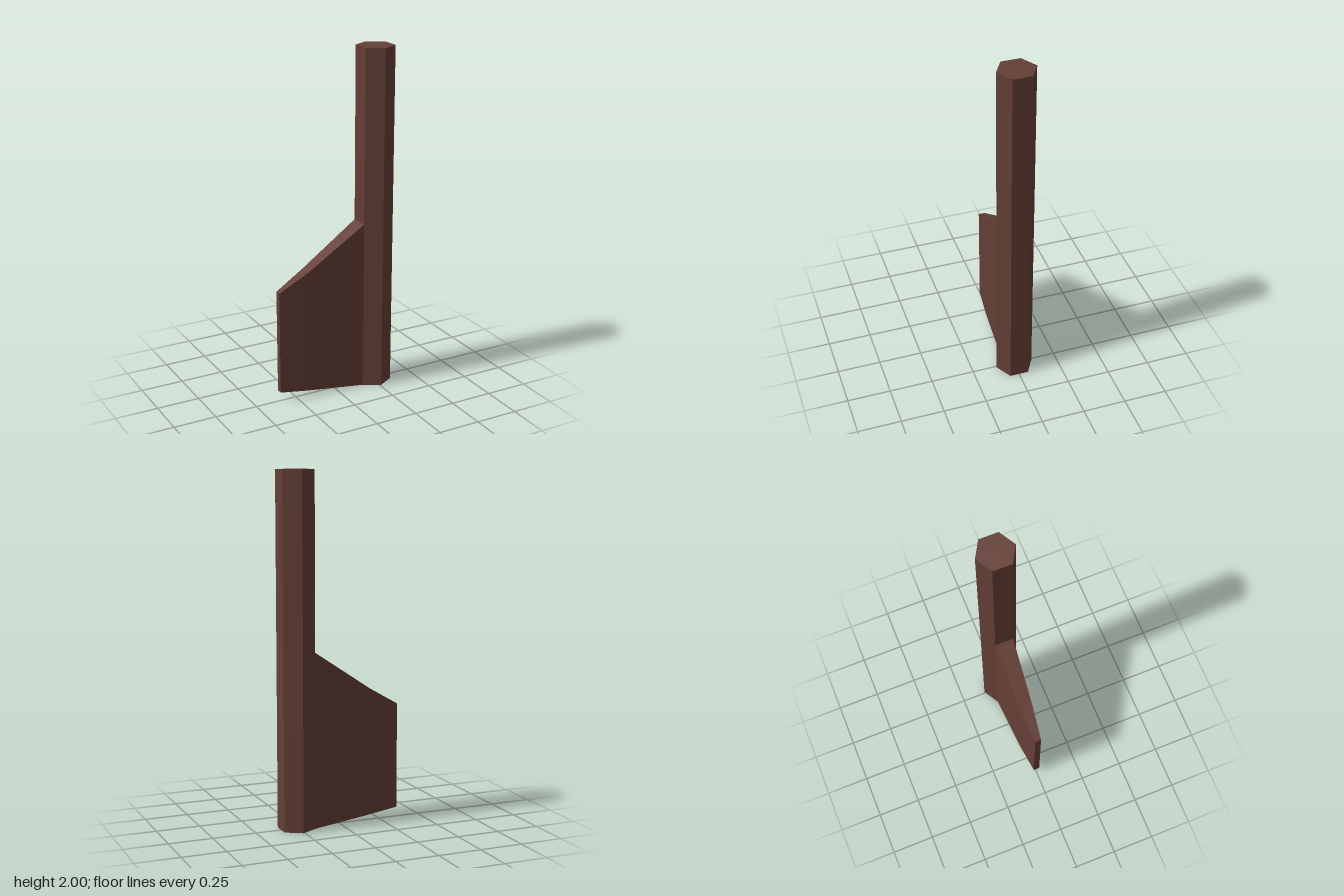
import * as THREE from 'three';

// Blade cross-sections from the post outwards: x, bottom, top, half thickness
const SECTIONS = [
  [0.165, 0, 1, 0.054],
  [-0.18, 0.04, 0.77, 0.036],
  [-0.354, 0.06, 0.67, 0.018],
];

function bladeGeometry() {
  const rings = SECTIONS.map(([x, y0, y1, h]) => [[x, y0, h], [x, y1, h], [x, y1, -h], [x, y0, -h]]);
  const positions = [];
  const quad = (a, b, c, d) => positions.push(...a, ...b, ...c, ...a, ...c, ...d);
  for (let i = 0; i < rings.length - 1; i++) {
    for (let k = 0; k < 4; k++) {
      const n = (k + 1) % 4;
      quad(rings[i][k], rings[i][n], rings[i + 1][n], rings[i + 1][k]);
    }
  }
  quad(...rings[rings.length - 1]); // trailing edge
  const geometry = new THREE.BufferGeometry();
  geometry.setAttribute('position', new THREE.Float32BufferAttribute(positions, 3));
  geometry.computeVertexNormals();
  return geometry;
}

export function createModel() {
  const model = new THREE.Group();
  model.name = 'rudder';
  const wood = new THREE.MeshStandardMaterial({ color: 0x643e36 });
  wood.name = 'dark brown wood';
  wood.flatShading = true;

  // Hexagonal post with a corner facing the front
  const post = new THREE.Mesh(new THREE.CylinderGeometry(0.108, 0.108, 2, 6), wood);
  post.name = 'post';
  post.position.set(0.258, 1, 0);

  // Tapering blade
  const blade = new THREE.Mesh(bladeGeometry(), wood);
  blade.name = 'blade';

  model.add(post, blade);
  return model;
}
